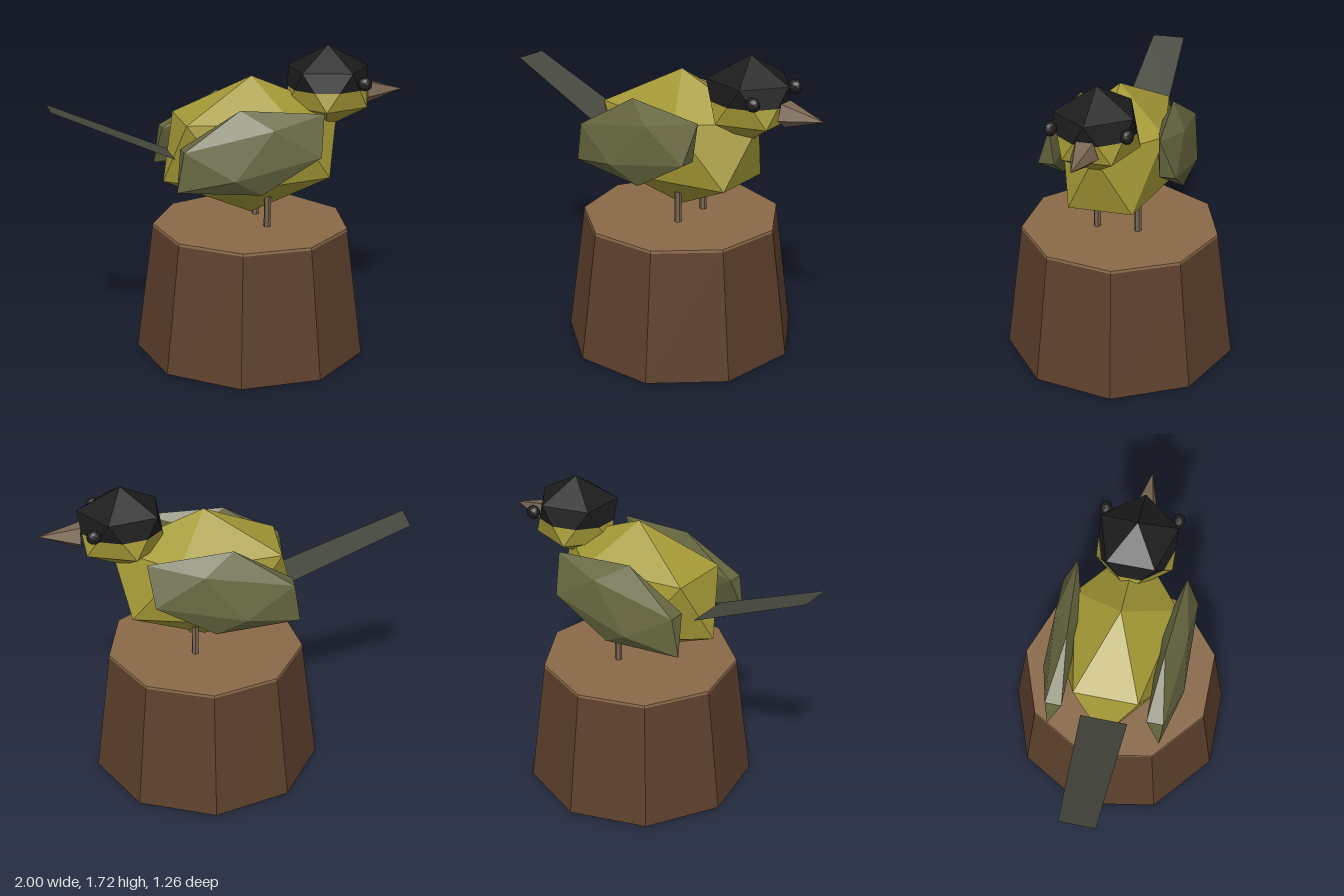
import * as THREE from 'three';

const MID_Z = 0.015; // symmetry plane of the bird

const material = (color, extra = {}) =>
  new THREE.MeshStandardMaterial({ color, flatShading: true, ...extra });

const yellow = material(0xa59a36);
const black = material(0x1c1c1c);
const olive = material(0x66673f);
const bark = material(0x5c3f2c);
const wood = material(0x8a6a49);
const horn = material(0x7a6652);
const tailGrey = material(0x474a40, { side: THREE.DoubleSide });

// Unit icosahedron with a vertex at each pole and an upper-ring vertex on +x
function poleIcosahedron() {
  return new THREE.IcosahedronGeometry(1, 0).rotateZ(-Math.atan(2 / (1 + Math.sqrt(5))));
}

// Upper half of the same icosahedron, cut along its equator
function halfIcosahedron() {
  const ring = (k, y) => {
    const a = (k * Math.PI) / 5;
    return new THREE.Vector3(Math.cos(a) * 0.8944, y, -Math.sin(a) * 0.8944);
  };
  const up = (k) => ring(2 * k, 0.4472);
  const low = (k) => ring(2 * k + 1, -0.4472);
  const mid = (a, b) => a.clone().lerp(b, 0.5);
  const points = [];
  for (let k = 0; k < 5; k++) {
    const u = up(k), next = up(k + 1);
    const m0 = mid(u, low(k - 1)), m1 = mid(u, low(k)), m2 = mid(low(k), next);
    points.push(new THREE.Vector3(0, 1, 0), u, next); // crown
    points.push(u, m0, m1); // point of the lower triangle
    points.push(u, m1, m2, u, m2, next); // upper part of the hanging triangle
  }
  const geometry = new THREE.BufferGeometry().setFromPoints(points);
  geometry.computeVertexNormals();
  return geometry;
}

export function createModel() {
  const model = new THREE.Group();
  model.name = 'birdOnStump';

  const add = (name, geometry, mat, x = 0, y = 0, z = MID_Z) => {
    const mesh = new THREE.Mesh(geometry, mat);
    mesh.name = name;
    mesh.position.set(x, y, z);
    model.add(mesh);
    return mesh;
  };

  // Nine-sided tapered stump with a pale cut face
  const nineSided = (top, bottom, height) =>
    new THREE.CylinderGeometry(top, bottom, height, 9, 1, false, Math.PI);
  add('stumpBark', nineSided(0.554, 0.652, 0.72), bark, 0.112, 0.36);
  add('stumpTop', nineSided(0.552, 0.554, 0.015), wood, 0.112, 0.7275);

  // Body
  add('body', poleIcosahedron().scale(0.56, 0.39, 0.33), yellow, 0.112, 1.18);

  // Head: dark cap over a yellow lower face
  const headSize = [0.262, 0.233, 0.245];
  add('headCap', halfIcosahedron().scale(...headSize), black, 0.552, 1.487);
  add('headLower', halfIcosahedron().rotateZ(Math.PI).scale(...headSize), yellow, 0.552, 1.487);

  // Beak: five-sided cone pointing along +x
  const beak = new THREE.ConeGeometry(0.075, 0.23, 5)
    .rotateY(Math.PI / 2)
    .rotateZ(-Math.PI / 2);
  add('beak', beak, horn, 0.885, 1.447);

  // Eyes, wings and legs on both sides
  for (const side of [1, -1]) {
    const label = side > 0 ? 'Near' : 'Far';
    add('eye' + label, new THREE.IcosahedronGeometry(1, 1).scale(0.04, 0.04, 0.034),
      black, 0.7, 1.53, MID_Z + side * 0.197);

    // Flattened, tilted wing
    const wingBasis = new THREE.Matrix4().makeBasis(
      new THREE.Vector3(0.48, 0.096, side * 0.015),
      new THREE.Vector3(-0.05, 0.225, side * -0.042),
      new THREE.Vector3(0, 0, 0.085)
    );
    add('wing' + label, poleIcosahedron().applyMatrix4(wingBasis),
      olive, 0.028, 1.216, MID_Z + side * 0.302);

    add('leg' + label, new THREE.CylinderGeometry(0.02, 0.02, 0.18, 6),
      horn, 0.175, 0.82, MID_Z + side * 0.117);
  }

  // Thin tail blade, narrowing and rising to the back
  const tail = new THREE.PlaneGeometry(1, 1);
  const p = tail.attributes.position;
  for (let i = 0; i < p.count; i++) {
    const base = p.getX(i) > 0;
    p.setXYZ(i, base ? -0.345 : -1, base ? 1.16 : 1.455, -p.getY(i) * (base ? 0.255 : 0.19));
  }
  tail.computeVertexNormals();
  add('tail', tail, tailGrey);

  return model;
}
